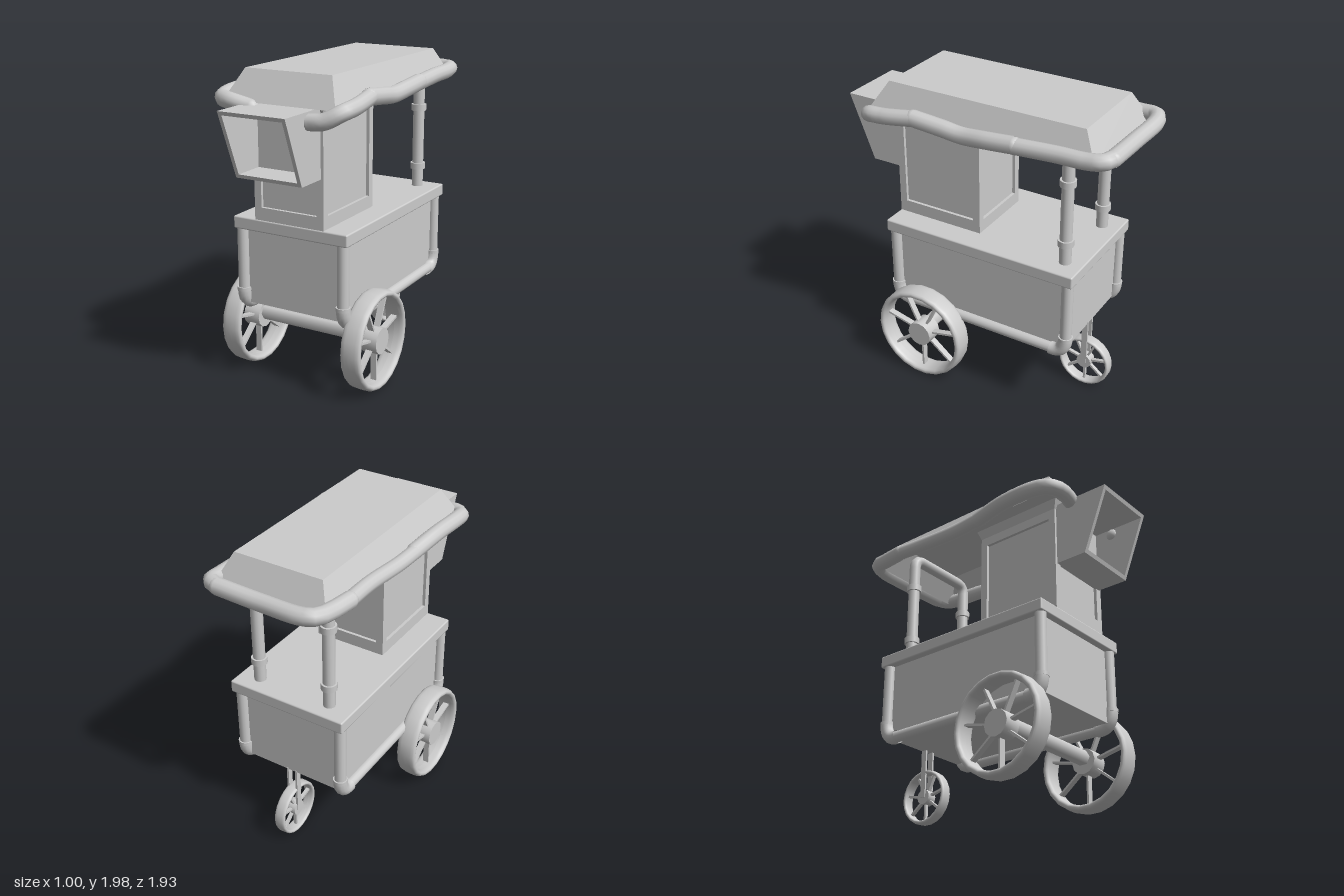
import * as THREE from 'three';
import { RoundedBoxGeometry } from 'three/addons/geometries/RoundedBoxGeometry.js';
import { toCreasedNormals } from 'three/addons/utils/BufferGeometryUtils.js';

const grey = new THREE.MeshStandardMaterial({ color: 0xcccccc });
const greyDouble = new THREE.MeshStandardMaterial({ color: 0xcccccc, side: THREE.DoubleSide });
const CX = -0.01; // cart centreline
const V = (x, y, z) => new THREE.Vector3(x, y, z);

function add(parent, name, geometry, x = 0, y = 0, z = 0, material = grey) {
  const mesh = new THREE.Mesh(geometry, material);
  mesh.name = name;
  mesh.position.set(x, y, z);
  parent.add(mesh);
  return mesh;
}

function group(parent, name, x = 0, y = 0, z = 0) {
  const g = new THREE.Group();
  g.name = name;
  g.position.set(x, y, z);
  parent.add(g);
  return g;
}

// Box given by its min and max corners
function box(parent, name, [x0, y0, z0], [x1, y1, z1]) {
  return add(parent, name, new THREE.BoxGeometry(x1 - x0, y1 - y0, z1 - z0),
    (x0 + x1) / 2, (y0 + y1) / 2, (z0 + z1) / 2);
}

// Straight capped pipe between two points
function pipe(parent, name, a, b, r, sides = 14) {
  const mesh = add(parent, name, new THREE.CylinderGeometry(r, r, a.distanceTo(b), sides));
  mesh.position.copy(a).lerp(b, 0.5);
  mesh.quaternion.setFromUnitVectors(V(0, 1, 0), b.clone().sub(a).normalize());
  return mesh;
}

// Wheel turning about x: rounded tyre, flat spokes, hub
function wheel(parent, name, x, y, z, R, width, rim, hubR, spokes) {
  const g = group(parent, name, x, y, z);
  const profile = [];
  for (let i = 0; i <= 16; i++) {
    const a = -(i / 16) * Math.PI * 2;
    const soft = (v) => Math.sign(v) * Math.pow(Math.abs(v), 0.7);
    profile.push(new THREE.Vector2(R - rim / 2 - soft(Math.cos(a)) * rim / 2, -soft(Math.sin(a)) * width / 2));
  }
  add(g, 'tyre', new THREE.LatheGeometry(profile, 22), 0, 0, 0, greyDouble).rotation.z = Math.PI / 2;
  add(g, 'hub', toCreasedNormals(new THREE.CylinderGeometry(hubR, hubR, width * 0.85, 12), 0.6)).rotation.z = Math.PI / 2;
  for (let i = 0; i < spokes; i++) {
    const a = (i / spokes) * Math.PI * 2;
    const mid = (hubR + R - rim) / 2;
    const length = R - rim - hubR + 0.02;
    const spoke = add(g, 'spoke', new THREE.BoxGeometry(width * 0.3, length, 0.014), 0, -Math.cos(a) * mid, -Math.sin(a) * mid);
    spoke.rotation.x = a;
  }
}

// Upright panel with a rectangular window hole, centred on x and resting on y = 0
function windowPanel(w, h, side, bottom, top, depth) {
  const s = new THREE.Shape([[-w / 2, 0], [w / 2, 0], [w / 2, h], [-w / 2, h]].map((p) => new THREE.Vector2(...p)));
  const e = w / 2 - side;
  s.holes.push(new THREE.Path([[-e, bottom], [-e, top], [e, top], [e, bottom]].map((p) => new THREE.Vector2(...p))));
  return new THREE.ExtrudeGeometry(s, { depth, bevelEnabled: false });
}

// Tapering quad loft through rectangular rings [x0, x1, y, z0, z1], closed on the last ring
function canopyGeometry(rings) {
  const tri = [];
  const corners = rings.map(([x0, x1, y, z0, z1]) => [V(x0, y, z1), V(x1, y, z1), V(x1, y, z0), V(x0, y, z0)]);
  const quad = (a, b, c, d) => tri.push(a, b, c, a, c, d);
  for (let r = 0; r + 1 < rings.length; r++) {
    for (let i = 0; i < 4; i++) {
      const j = (i + 1) % 4;
      quad(corners[r][i], corners[r][j], corners[r + 1][j], corners[r + 1][i]);
    }
  }
  quad(...corners[corners.length - 1]);
  const g = new THREE.BufferGeometry().setFromPoints(tri);
  g.computeVertexNormals();
  return g;
}

function createModel() {
  const model = new THREE.Group();
  model.name = 'vendingCart';

  // Cart body, counter and corner pipework
  box(model, 'cartBody', [-0.365, 0.51, -0.685], [0.34, 1.01, 0.555]);
  add(model, 'counterTop', new RoundedBoxGeometry(0.805, 0.08, 1.335, 2, 0.01), CX, 1.04, -0.0675);
  const pipes = group(model, 'bodyPipes');
  for (const x of [-0.37, 0.345]) {
    pipe(pipes, 'lowerRail', V(x, 0.497, -0.65), V(x, 0.497, 0.52), 0.036);
    for (const z of [-0.687, 0.56]) {
      const inward = z > 0 ? -1 : 1;
      pipe(pipes, 'cornerPost', V(x, 0.55, z), V(x, 1.01, z), 0.037);
      const bend = new THREE.QuadraticBezierCurve3(V(x, 0.61, z), V(x, 0.485, z), V(x, 0.497, z + inward * 0.1));
      add(pipes, 'elbow', new THREE.TubeGeometry(bend, 8, 0.045, 14), 0, 0, 0, greyDouble);
      pipe(pipes, 'elbowCollar', V(x, 0.59, z), V(x, 0.612, z), 0.046);
    }
  }

  // Main wheels, axle and rear caster
  for (const x of [-0.437, 0.428]) wheel(model, 'mainWheel', x, 0.332, 0.32, 0.32, 0.135, 0.045, 0.085, 7);
  pipe(model, 'axle', V(-0.43, 0.352, 0.32), V(0.42, 0.352, 0.32), 0.05, 6);
  wheel(model, 'rearWheel', -0.007, 0.195, -0.667, 0.18, 0.075, 0.026, 0.05, 7);
  for (const s of [-1, 1]) {
    const x = -0.007 + s * 0.031;
    box(model, 'rearFork', [x - 0.007, 0.19, -0.687], [x + 0.007, 0.52, -0.648]);
  }

  // Glazed cabinet: core with four framed windows and a wider cap
  const cab = group(model, 'cabinet', CX, 1.075, 0.295);
  const [w, d, h, t] = [0.485, 0.6, 0.72, 0.02];
  box(cab, 'glazing', [-w / 2 + t, 0, -d / 2 + t], [w / 2 - t, h, d / 2 - t]);
  for (let i = 0; i < 4; i++) {
    const across = i % 2 ? d : w;
    const away = (i % 2 ? w : d) / 2 - t;
    const holder = group(cab, 'windowSide');
    holder.rotation.y = (i * Math.PI) / 2;
    add(holder, 'windowFrame', windowPanel(across, h, 0.048, 0.085, 0.645, t), 0, 0, away);
  }
  const cap = new THREE.CylinderGeometry(Math.SQRT1_2 * 1.08, Math.SQRT1_2, 0.06, 4, 1).rotateY(Math.PI / 4).scale(w, 1, d);
  add(cab, 'cabinetCap', toCreasedNormals(cap, 0.5), 0, h + 0.015, 0);

  // Open serving box hung on the front, side walls slanted
  const hood = group(model, 'frontBox');
  const [x0, x1, wall] = [-0.235, 0.215, 0.024];
  const zAt = (y) => 0.8 + ((y - 1.39) / 0.42) * 0.165;
  const slab = (y0, y1, from, to) => {
    const s = new THREE.Shape([[0.59, y0], [zAt(y0), y0], [zAt(y1), y1], [0.59, y1]].map((p) => new THREE.Vector2(...p)));
    const g = new THREE.ExtrudeGeometry(s, { depth: to - from, bevelEnabled: false });
    return g.rotateY(-Math.PI / 2).translate(to, 0, 0);
  };
  add(hood, 'boxSide', slab(1.39, 1.81, x0, x0 + wall));
  add(hood, 'boxSide', slab(1.39, 1.81, x1 - wall, x1));
  add(hood, 'boxFloor', slab(1.39, 1.39 + wall, x0, x1));
  add(hood, 'boxTop', slab(1.81 - wall, 1.81, x0, x1));
  box(hood, 'boxBack', [x0, 1.39, 0.585], [x1, 1.81, 0.605]);

  // Rear pipe arch holding the canopy
  const arch = group(model, 'rearArch', 0, 0, -0.617);
  const archPath = new THREE.CurvePath();
  const [px, py, r] = [0.252, 1.86, 0.07];
  archPath.add(new THREE.LineCurve3(V(-px, 1.07, 0), V(-px, py - r, 0)));
  archPath.add(new THREE.QuadraticBezierCurve3(V(-px, py - r, 0), V(-px, py, 0), V(-px + r, py, 0)));
  archPath.add(new THREE.LineCurve3(V(-px + r, py, 0), V(px - r, py, 0)));
  archPath.add(new THREE.QuadraticBezierCurve3(V(px - r, py, 0), V(px, py, 0), V(px, py - r, 0)));
  archPath.add(new THREE.LineCurve3(V(px, py - r, 0), V(px, 1.07, 0)));
  add(arch, 'archPipe', new THREE.TubeGeometry(archPath, 80, 0.038, 14), 0, 0, 0, greyDouble);
  for (const x of [-px, px]) {
    for (const y of [1.22, 1.62]) pipe(arch, 'collar', V(x, y - 0.021, 0), V(x, y + 0.021, 0), 0.05);
  }

  // Canopy shell, open underneath
  add(model, 'canopy', canopyGeometry([
    [-0.385, 0.375, 1.82, -0.835, 0.70],
    [-0.30, 0.29, 2.0, -0.735, 0.59],
  ]), 0, 0, 0, greyDouble);

  // Wavy padded roll around the canopy edge, in overlapping lengths
  const roll = group(model, 'canopyRoll');
  const lengths = [
    [0.05, [0.22, 1.75, 0.725], [0.31, 1.76, 0.72], [0.40, 1.81, 0.67], [0.415, 1.825, 0.55], [0.395, 1.85, 0.33]],
    [0.053, [0.395, 1.85, 0.35], [0.38, 1.825, 0.15], [0.375, 1.81, 0.02], [0.385, 1.825, -0.15], [0.385, 1.84, -0.33]],
    [0.05, [0.385, 1.835, -0.32], [0.37, 1.845, -0.6], [0.37, 1.85, -0.78], [0.355, 1.86, -0.87], [0.28, 1.86, -0.9]],
    [0.052, [0.29, 1.86, -0.9], [0, 1.85, -0.9], [-0.28, 1.86, -0.91], [-0.35, 1.865, -0.88], [-0.375, 1.855, -0.78], [-0.395, 1.85, -0.62]],
    [0.047, [-0.395, 1.85, -0.64], [-0.385, 1.84, -0.4], [-0.395, 1.82, -0.1], [-0.405, 1.825, 0.09]],
    [0.051, [-0.40, 1.825, 0.08], [-0.425, 1.85, 0.33], [-0.43, 1.84, 0.58], [-0.41, 1.825, 0.67], [-0.33, 1.82, 0.71], [-0.19, 1.79, 0.7]],
  ];
  for (const [radius, ...points] of lengths) {
    const curve = new THREE.CatmullRomCurve3(points.map((p) => V(...p)));
    add(roll, 'rollLength', new THREE.TubeGeometry(curve, 20, radius, 12), 0, 0, 0, greyDouble);
    for (const end of [points[0], points[points.length - 1]]) {
      add(roll, 'rollEnd', new THREE.SphereGeometry(radius * 0.97, 12, 8), ...end);
    }
  }

  return model;
}

export { createModel };
